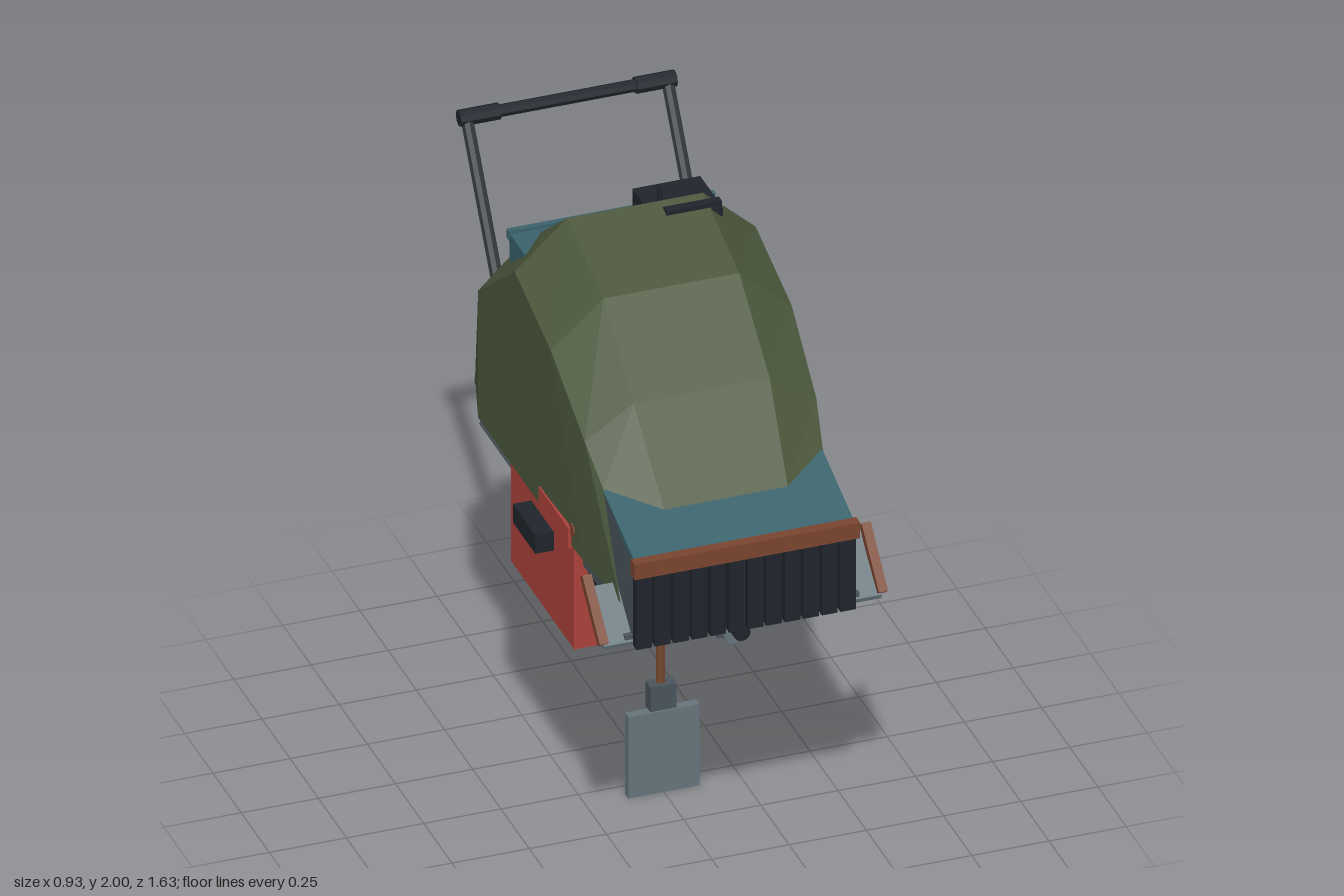
import * as THREE from 'three';

const mat = (color, side = THREE.FrontSide) => new THREE.MeshStandardMaterial({ color, side, flatShading: true });
const GREEN = mat(0x4b573c, THREE.DoubleSide), RED = mat(0xad423b), BROWN = mat(0x75482f), RUST = mat(0x7a4530);
const BLACK = mat(0x20252c), DARK = mat(0x30363a), GREY = mat(0x4a555c), STEEL = mat(0x66757c);
const TEAL = mat(0x3a626b), HUB = mat(0x7d888d);

export function createModel() {
  const model = new THREE.Group();

  const add = (name, geo, material) => {
    const m = new THREE.Mesh(geo, material);
    m.name = name;
    model.add(m);
    return m;
  };
  // Box given by its limits on each axis
  const box = (name, material, x0, x1, y0, y1, z0, z1) => {
    const m = add(name, new THREE.BoxGeometry(x1 - x0, y1 - y0, z1 - z0), material);
    m.position.set((x0 + x1) / 2, (y0 + y1) / 2, (z0 + z1) / 2);
    return m;
  };
  // Round bar between two points
  const rod = (name, material, a, b, r, sides = 8) => {
    const p = new THREE.Vector3(...a), q = new THREE.Vector3(...b), d = q.clone().sub(p);
    const m = add(name, new THREE.CylinderGeometry(r, r, d.length(), sides), material);
    m.position.copy(p).add(q).multiplyScalar(0.5);
    m.quaternion.setFromUnitVectors(new THREE.Vector3(0, 1, 0), d.normalize());
    return m;
  };
  // Outline in [z, y], extruded from x0 to x1
  const slab = (name, material, pts, x0, x1) => {
    const shape = new THREE.Shape(pts.map(([z, y]) => new THREE.Vector2(-z, y)));
    const geo = new THREE.ExtrudeGeometry(shape, { depth: x1 - x0, bevelEnabled: false });
    geo.rotateY(Math.PI / 2).translate(x0, 0, 0);
    return add(name, geo, material);
  };

  // Faceted hood: each section runs rim, shoulder, roof edge as [x, y, z]
  const sections = [
    [[0.365, 1.09, 0.69], [0.355, 1.39, 0.51], [0.2, 1.35, 0.625]],
    [[0.385, 1.09, 0.42], [0.375, 1.5, 0.4], [0.22, 1.61, 0.41]],
    [[0.395, 1.09, 0.14], [0.39, 1.68, 0.14], [0.22, 1.83, 0.14]],
    [[0.395, 1.09, -0.18], [0.39, 1.78, -0.18], [0.22, 1.935, -0.18]],
    [[0.395, 1.09, -0.49], [0.395, 1.54, -0.49], [0.25, 1.69, -0.48]],
    [[0.33, 1.09, -0.69], [0.33, 1.105, -0.695], [0.22, 1.105, -0.695]],
  ];
  const verts = [], index = [];
  for (const [rim, shoulder, roof] of sections) {
    const half = [rim, shoulder, roof];
    for (const p of half) verts.push(...p);
    for (const [x, y, z] of half.slice().reverse()) verts.push(-x, y, z);
  }
  for (let i = 0; i < sections.length - 1; i++) {
    for (let j = 0; j < 5; j++) {
      const a = i * 6 + j, b = a + 1, c = a + 6, d = c + 1;
      index.push(a, c, b, b, c, d);
    }
  }
  const hood = new THREE.BufferGeometry();
  hood.setAttribute('position', new THREE.Float32BufferAttribute(verts, 3));
  hood.setIndex(index);
  const hoodFlat = hood.toNonIndexed();
  hoodFlat.computeVertexNormals();
  add('hood', hoodFlat, GREEN);
  box('hoodRearRim', GREEN, -0.33, 0.33, 1.08, 1.1, -0.7, -0.68);

  // Front scoop: sloping plate, cheeks, cross bar and comb of slats
  slab('scoopPlate', TEAL, [[0.8, 1.265], [0.8, 1.285], [0.49, 1.39], [0.49, 1.365]], -0.355, 0.355);
  box('scoopBar', RUST, -0.365, 0.365, 1.24, 1.295, 0.78, 0.815);
  for (let i = 0; i < 12; i++) {
    const x = -0.33 + i * 0.06;
    box('combSlat', BLACK, x - 0.025, x + 0.025, 0.985, 1.245, 0.775, 0.805);
  }
  box('combBacking', DARK, -0.35, 0.35, 0.99, 1.24, 0.755, 0.778);
  box('scoopFrontSill', GREY, -0.38, 0.38, 0.985, 1.02, 0.7, 0.77);
  box('scoopRearSill', GREY, -0.35, 0.35, 1.02, 1.06, 0.33, 0.42);
  for (const x of [-0.16, 0.16]) box('scoopRail', GREY, x - 0.025, x + 0.025, 1.02, 1.05, 0.4, 0.72);

  for (const s of [-1, 1]) {
    const span = (a, b) => [Math.min(a * s, b * s), Math.max(a * s, b * s)];
    slab('scoopCheek', GREY, [[0.8, 1.28], [0.8, 0.99], [0.74, 1.02], [0.33, 1.02], [0.33, 1.1], [0.5, 1.38]],
      ...span(0.335, 0.355));
    // Flared wings beside the scoop
    slab('wingPlate', STEEL, [[0.77, 0.985], [0.775, 1.0], [0.63, 1.13], [0.615, 1.115]], ...span(0.345, 0.45));
    slab('wingEdge', RUST, [[0.765, 1.0], [0.785, 1.015], [0.63, 1.175], [0.61, 1.155]], ...span(0.437, 0.467));

    // Crate side, raised flap and grips
    box('crateSide', RED, ...span(0.36, 0.38), 0.72, 1.085, -0.24, 0.32);
    box('crateFlap', RED, ...span(0.375, 0.4), 1.08, 1.155, 0.06, 0.32);
    box('crateGrip', BLACK, ...span(0.375, 0.44), 0.97, 1.035, -0.06, 0.14);
    box('frontCatch', BLACK, ...span(0.265, 0.335), 0.94, 0.985, 0.315, 0.34);
    box('crateBackPost', RED, ...span(0.24, 0.375), 0.72, 1.05, -0.24, -0.22);

    // Knobs and small lamps on the hood
    rod('knob', RUST, [0.36 * s, 1.15, 0.325], [0.392 * s, 1.15, 0.325], 0.022);
    const lamp = add('lamp', new THREE.ConeGeometry(0.025, 0.07, 5), TEAL);
    lamp.position.set(0.315 * s, 1.775, -0.02);
    lamp.rotation.x = Math.PI / 2;

    // Wheels under the hood
    for (const z of [-0.22, 0.29]) {
      rod('tyre', BLACK, [0.2 * s, 1.15, z], [0.33 * s, 1.15, z], 0.205, 18);
      rod('hub', HUB, [0.19 * s, 1.15, z], [0.338 * s, 1.15, z], 0.15, 18);
    }

    // Rear prongs and push handle legs
    rod('rearProng', GREY, [0.32 * s, 0.968, -0.2], [0.32 * s, 0.968, -0.65], 0.013);
    rod('handleLeg', DARK, [0.325 * s, 1.53, -0.5], [0.325 * s, 1.975, -0.785], 0.02);
    rod('handleGrip', BLACK, [0.22 * s, 1.975, -0.785], [0.35 * s, 1.975, -0.785], 0.027);
  }
  for (const z of [-0.22, 0.29]) rod('axle', DARK, [-0.2, 1.15, z], [0.2, 1.15, z], 0.03);
  rod('handleBar', BLACK, [-0.23, 1.975, -0.785], [0.23, 1.975, -0.785], 0.02);

  // Crate floor, front wall and low back wall
  box('crateFloor', RED, -0.38, 0.38, 0.72, 0.74, -0.24, 0.32);
  box('crateFront', RED, -0.375, 0.375, 0.73, 1.08, 0.3, 0.32);
  box('crateBack', RED, -0.25, 0.25, 0.73, 0.83, -0.24, -0.22);

  // Stock, end plate and twin barrels running through the crate
  box('stock', BROWN, -0.085, 0.085, 0.83, 0.96, -0.45, -0.1);
  box('stockGroove', RUST, -0.09, 0.09, 0.89, 0.9, -0.42, -0.24);
  box('stockEndPlate', BLACK, -0.06, 0.06, 0.82, 0.995, -0.465, -0.445);
  box('receiver', DARK, -0.05, 0.05, 0.85, 0.97, -0.1, 0.32);
  for (let i = 0; i < 5; i++) {
    const z = 0.32 + i * 0.032;
    box('foregripRib', BROWN, -0.06, 0.06, 0.85, 0.95, z, z + 0.025);
  }
  box('foregripCore', RUST, -0.05, 0.05, 0.86, 0.94, 0.32, 0.475);
  rod('upperBarrel', BLACK, [0, 0.952, 0.3], [0, 0.952, 0.77], 0.027, 12);
  rod('lowerBarrel', STEEL, [0, 0.898, 0.47], [0, 0.898, 0.69], 0.028, 12);
  box('barrelBand', GREY, -0.033, 0.033, 0.87, 0.995, 0.62, 0.645);

  // Spade hanging below the crate
  rod('spadeShaft', BROWN, [0, 0.33, 0.045], [0, 0.74, 0.045], 0.015);
  box('spadeSocket', GREY, -0.042, 0.042, 0.285, 0.375, 0.025, 0.07);
  box('spadeTongue', GREY, -0.03, 0.03, 0.24, 0.3, 0.025, 0.047);
  box('spadeBlade', STEEL, -0.115, 0.115, 0, 0.288, 0.045, 0.075);

  // Rear vent wedge on the hood
  slab('rearVent', TEAL, [[-0.22, 1.785], [-0.395, 1.785], [-0.385, 1.67]], -0.33, 0.33);
  box('ventLip', TEAL, -0.335, 0.335, 1.765, 1.795, -0.405, -0.385);

  // Sight housing with frame and thin mast
  box('sightGlass', TEAL, 0.08, 0.235, 1.77, 1.885, -0.295, -0.15);
  box('sightTop', BLACK, 0.04, 0.26, 1.88, 1.91, -0.315, -0.21);
  box('sightArm', BLACK, 0.21, 0.26, 1.88, 1.91, -0.22, -0.115);
  box('sightFront', BLACK, 0.08, 0.26, 1.915, 1.93, -0.15, -0.12);
  box('sightBack', BLACK, 0.04, 0.26, 1.79, 1.885, -0.315, -0.29);
  rod('mast', BLACK, [0.09, 1.87, -0.21], [0.09, 1.97, -0.21], 0.008, 6);

  return model;
}
